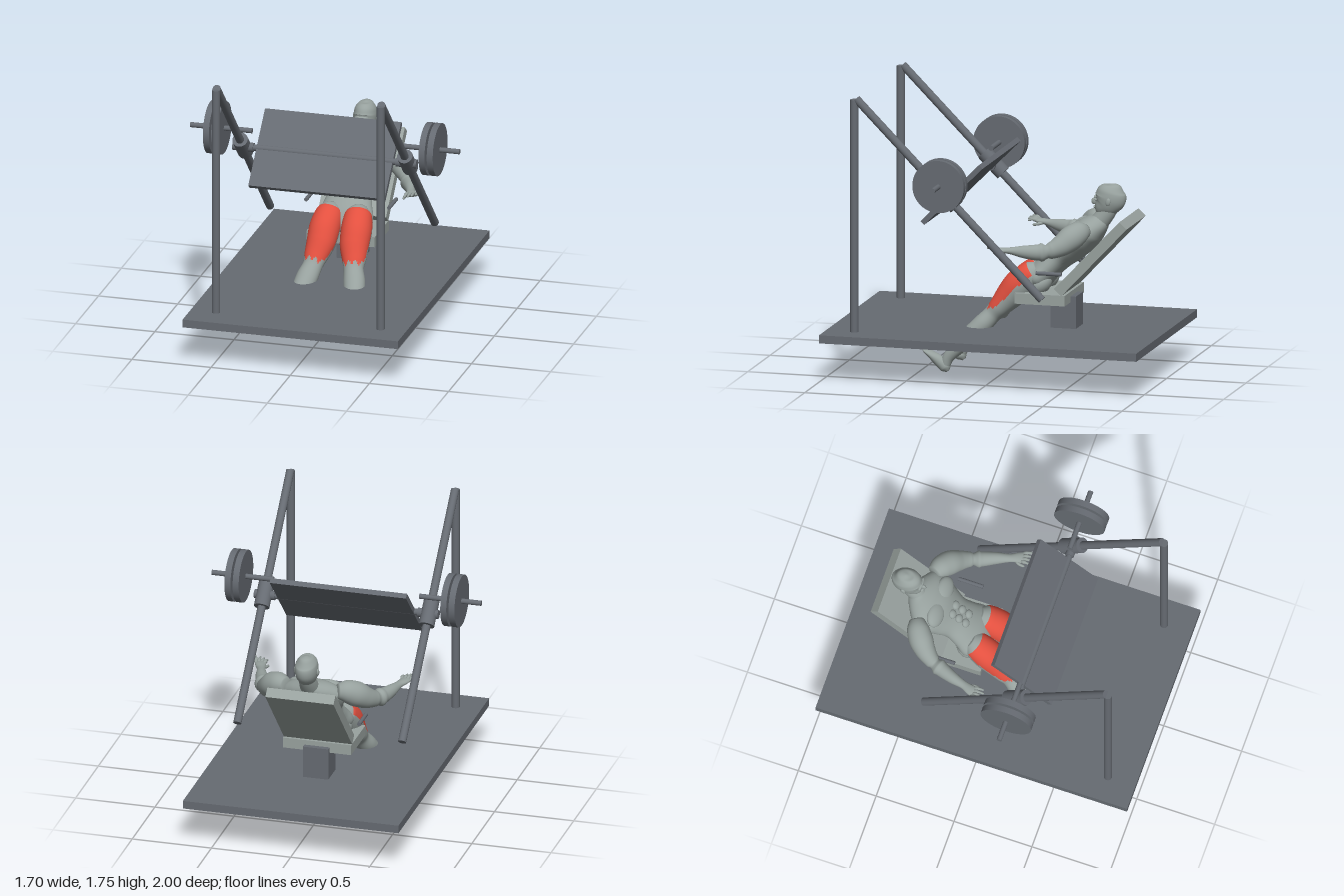
import * as THREE from 'three';

const mat = (name, color) => {
  const m = new THREE.MeshStandardMaterial({ color });
  m.name = name;
  return m;
};
const frame = mat('frame steel', 0x666b72);
const pad = mat('pad grey', 0x99a29f);
const skin = mat('body grey', 0x97a19e);
const red = mat('highlighted muscle', 0xe2503f);
const V = (x, y, z) => new THREE.Vector3(x, y, z);

export function createModel() {
  const root = new THREE.Group();
  root.name = 'legPressMachineWithFigure';
  const machine = new THREE.Group();
  machine.name = 'machine';
  const figure = new THREE.Group();
  figure.name = 'figure';
  root.add(machine, figure);

  const add = (parent, name, geo, material) => {
    const m = new THREE.Mesh(geo, material);
    m.name = name;
    parent.add(m);
    return m;
  };
  const box = (name, w, h, d, x, y, z, material, rx = 0) => {
    const m = add(machine, name, new THREE.BoxGeometry(w, h, d), material);
    m.position.set(x, y, z);
    m.rotation.x = rx;
    return m;
  };
  // cylinder between two points
  const rod = (name, a, b, r, sides = 24) => {
    const d = b.clone().sub(a);
    const m = add(machine, name, new THREE.CylinderGeometry(r, r, d.length(), sides), frame);
    m.position.copy(a).add(b).multiplyScalar(0.5);
    m.quaternion.setFromUnitVectors(V(0, 1, 0), d.normalize());
    return m;
  };
  const blob = (name, x, y, z, sx, sy, sz, rx = 0) => {
    const m = add(figure, name, new THREE.SphereGeometry(1, 24, 16), skin);
    m.position.set(x, y, z);
    m.scale.set(sx, sy, sz);
    m.rotation.x = rx;
    return m;
  };

  // Smooth body through elliptical sections [x, y, z, halfWidth along ref, halfDepth]
  const loft = (name, sections, { ref = V(1, 0, 0), sides = 32, steps = 5, isRed = null } = {}) => {
    const path = new THREE.CatmullRomCurve3(sections.map(s => V(s[0], s[1], s[2])));
    const radii = new THREE.CatmullRomCurve3(sections.map(s => V(s[3], s[4], 0)));
    const n = (sections.length - 1) * steps;
    const pos = [], parts = [[], []];
    for (let i = 0; i <= n; i++) {
      const t = i / n, c = path.getPoint(t), r = radii.getPoint(t), T = path.getTangent(t);
      const S = ref.clone().addScaledVector(T, -ref.dot(T)).normalize();
      const F = T.clone().cross(S);
      for (let j = 0; j < sides; j++) {
        const a = j / sides * Math.PI * 2;
        const p = c.clone().addScaledVector(S, Math.max(r.x, 0.002) * Math.cos(a))
          .addScaledVector(F, Math.max(r.y, 0.002) * Math.sin(a));
        pos.push(p.x, p.y, p.z);
      }
    }
    for (let i = 0; i < n; i++) for (let j = 0; j < sides; j++) {
      const k = (j + 1) % sides, a = i * sides + j, b = i * sides + k;
      const part = isRed && isRed((i + 0.5) / n, (j + 0.5) / sides * Math.PI * 2) ? 1 : 0;
      parts[part].push(a, b, b + sides, a, b + sides, a + sides);
    }
    // end caps
    const first = sections[0], last = sections[sections.length - 1], c0 = pos.length / 3;
    pos.push(first[0], first[1], first[2], last[0], last[1], last[2]);
    for (let j = 0; j < sides; j++) {
      const k = (j + 1) % sides;
      parts[0].push(c0, k, j, c0 + 1, n * sides + j, n * sides + k);
    }
    const g = new THREE.BufferGeometry();
    g.setAttribute('position', new THREE.Float32BufferAttribute(pos, 3));
    g.setIndex([...parts[0], ...parts[1]]);
    g.computeVertexNormals();
    if (isRed) {
      g.addGroup(0, parts[0].length, 0);
      g.addGroup(parts[0].length, parts[1].length, 1);
    }
    return add(figure, name, g, isRed ? [skin, red] : skin);
  };

  // ---- Machine ----
  box('basePlate', 1.36, 0.05, 2, 0, 0.275, 0, frame);
  box('seatPedestal', 0.16, 0.2, 0.16, 0, 0.4, -0.37, frame);
  box('seat', 0.43, 0.065, 0.315, 0, 0.4975, -0.26, pad);
  box('backrest', 0.43, 0.6, 0.063, 0, 0.767, -0.579, pad, -Math.atan2(0.408, 0.433));
  box('pressPanel', 0.86, 0.52, 0.032, 0, 1.163, 0.235, frame, -Math.PI / 4);
  rod('crossBar', V(-0.58, 1.165, 0.237), V(0.58, 1.165, 0.237), 0.02);

  for (const s of [-1, 1]) {
    const low = V(s * 0.52, 0.565, -0.36), high = V(s * 0.52, 1.745, 0.81);
    const dir = high.clone().sub(low).normalize(), mid = V(s * 0.52, 1.17, 0.237);
    rod('uprightPost', V(s * 0.52, 0.3, 0.822), V(s * 0.52, 1.74, 0.822), 0.025);
    rod('slideRail', low, high, 0.025);
    rod('railSleeve', mid.clone().addScaledVector(dir, -0.085), mid.clone().addScaledVector(dir, 0.085), 0.048);
    rod('sleevePin', V(s * 0.45, 1.165, 0.237), V(s * 0.58, 1.165, 0.237), 0.028);
    rod('weightBar', V(s * 0.46, 1.272, 0.237), V(s * 0.85, 1.272, 0.237), 0.016);
    for (const x of [0.655, 0.707]) {
      rod('weightDisc', V(s * (x - 0.019), 1.272, 0.237), V(s * (x + 0.019), 1.272, 0.237), 0.162, 48);
    }
    rod('sideHandle', V(s * 0.262, 0.672, -0.25), V(s * 0.262, 0.672, -0.41), 0.012);
  }

  // ---- Figure: head, neck and torso ----
  loft('head', [
    [0, 1.198, -0.66, 0.008, 0.01], [0, 1.187, -0.66, 0.04, 0.052], [0, 1.15, -0.652, 0.066, 0.088],
    [0, 1.11, -0.646, 0.071, 0.098], [0, 1.07, -0.626, 0.065, 0.083], [0, 1.04, -0.602, 0.052, 0.06],
    [0, 1.012, -0.586, 0.034, 0.038], [0, 1.002, -0.58, 0.01, 0.012],
  ]);
  loft('neck', [
    [0, 1.08, -0.66, 0.045, 0.05], [0, 1.02, -0.625, 0.053, 0.054],
    [0, 0.96, -0.58, 0.06, 0.058], [0, 0.9, -0.53, 0.09, 0.06],
  ]);
  blob('nose', 0, 1.085, -0.545, 0.011, 0.022, 0.02, -0.3);
  blob('lips', 0, 1.05, -0.549, 0.021, 0.008, 0.01);
  blob('brow', 0, 1.118, -0.558, 0.045, 0.009, 0.012);
  loft('torso', [
    [0, 0.985, -0.6, 0.045, 0.045], [0, 0.95, -0.573, 0.12, 0.065], [0, 0.91, -0.53, 0.185, 0.088],
    [0, 0.86, -0.475, 0.19, 0.098], [0, 0.79, -0.405, 0.162, 0.09], [0, 0.73, -0.335, 0.135, 0.08],
    [0, 0.67, -0.27, 0.15, 0.08], [0, 0.61, -0.215, 0.172, 0.083], [0, 0.55, -0.17, 0.12, 0.07],
    [0, 0.52, -0.15, 0.05, 0.04],
  ]);
  const lean = -Math.PI / 4;

  for (const s of [-1, 1]) {
    const m = list => list.map(([x, ...rest]) => [s * x, ...rest]);
    blob('ear', s * 0.071, 1.095, -0.65, 0.009, 0.024, 0.015, -0.2);
    blob('eye', s * 0.028, 1.1, -0.562, 0.012, 0.007, 0.008);
    blob('chestMuscle', s * 0.085, 0.918, -0.435, 0.085, 0.062, 0.034, lean);
    blob('buttock', s * 0.085, 0.565, -0.225, 0.08, 0.085, 0.06, lean);
    for (let i = 0; i < 3; i++) {
      blob('abdominal', s * 0.03, 0.86 - i * 0.042, -0.345 + i * 0.042, 0.028, 0.027, 0.018, lean);
    }

    // Legs, with the front thigh highlighted
    loft('leg', m([
      [0.085, 0.66, -0.22, 0.05, 0.05], [0.09, 0.63, -0.175, 0.085, 0.08], [0.1, 0.56, -0.1, 0.095, 0.095],
      [0.105, 0.49, -0.04, 0.09, 0.086], [0.12, 0.42, 0.02, 0.074, 0.066], [0.13, 0.37, 0.065, 0.061, 0.055],
      [0.15, 0.31, 0.12, 0.067, 0.06], [0.165, 0.25, 0.18, 0.064, 0.059], [0.175, 0.17, 0.26, 0.045, 0.045],
      [0.18, 0.1, 0.325, 0.033, 0.035], [0.18, 0.05, 0.345, 0.03, 0.03],
    ]), {
      sides: 48, steps: 8,
      isRed: (t, a) => t > 0.07 && t < 0.46 + 0.025 * Math.sin(a * 9)
        && Math.sin(a) > -0.08 + 0.5 * Math.pow(t / 0.46, 4),
    });
    loft('foot', m([
      [0.18, 0.016, 0.328, 0.015, 0.012], [0.18, 0.04, 0.345, 0.034, 0.036], [0.182, 0.08, 0.388, 0.037, 0.034],
      [0.184, 0.115, 0.432, 0.042, 0.022], [0.186, 0.138, 0.465, 0.04, 0.014], [0.186, 0.15, 0.478, 0.03, 0.008],
    ]));
    for (let i = 0; i < 5; i++) {
      const r = 0.012 - i * 0.0012;
      blob('toe', s * (0.154 + i * 0.016), 0.154 - i * 0.004, 0.482 - i * 0.005, r * 0.75, r, r * 1.3, lean);
    }

    // Arms and hands
    loft('arm', m([
      [0.16, 0.93, -0.53, 0.045, 0.045], [0.21, 0.925, -0.505, 0.07, 0.068], [0.26, 0.9, -0.47, 0.078, 0.074],
      [0.31, 0.86, -0.42, 0.066, 0.062], [0.35, 0.833, -0.36, 0.05, 0.046], [0.375, 0.826, -0.3, 0.05, 0.046],
      [0.41, 0.832, -0.21, 0.038, 0.036], [0.435, 0.84, -0.13, 0.02, 0.026], [0.45, 0.843, -0.09, 0.017, 0.032],
      [0.458, 0.845, -0.06, 0.013, 0.035], [0.462, 0.845, -0.048, 0.006, 0.025],
    ]), { ref: V(0, 1, 0) });
    for (let i = 0; i < 4; i++) {
      const x = 0.435 + i * 0.017, len = [0.04, 0.048, 0.044, 0.032][i], fan = (i - 1) * 0.004;
      loft('finger', m([
        [x, 0.846, -0.07, 0.008, 0.008], [x + fan, 0.853 + i * 0.003, -0.05 + len * 0.4, 0.008, 0.008],
        [x + fan * 1.6, 0.846 + i * 0.006, -0.05 + len, 0.006, 0.006],
        [x + fan * 1.7, 0.843 + i * 0.006, -0.047 + len, 0.002, 0.002],
      ]), { ref: V(0, 1, 0), sides: 10, steps: 3 });
    }
    loft('thumb', m([
      [0.435, 0.84, -0.11, 0.011, 0.011], [0.417, 0.83, -0.075, 0.01, 0.01],
      [0.415, 0.824, -0.045, 0.008, 0.008], [0.415, 0.823, -0.038, 0.002, 0.002],
    ]), { ref: V(0, 1, 0), sides: 10, steps: 3 });
  }
  return root;
}
